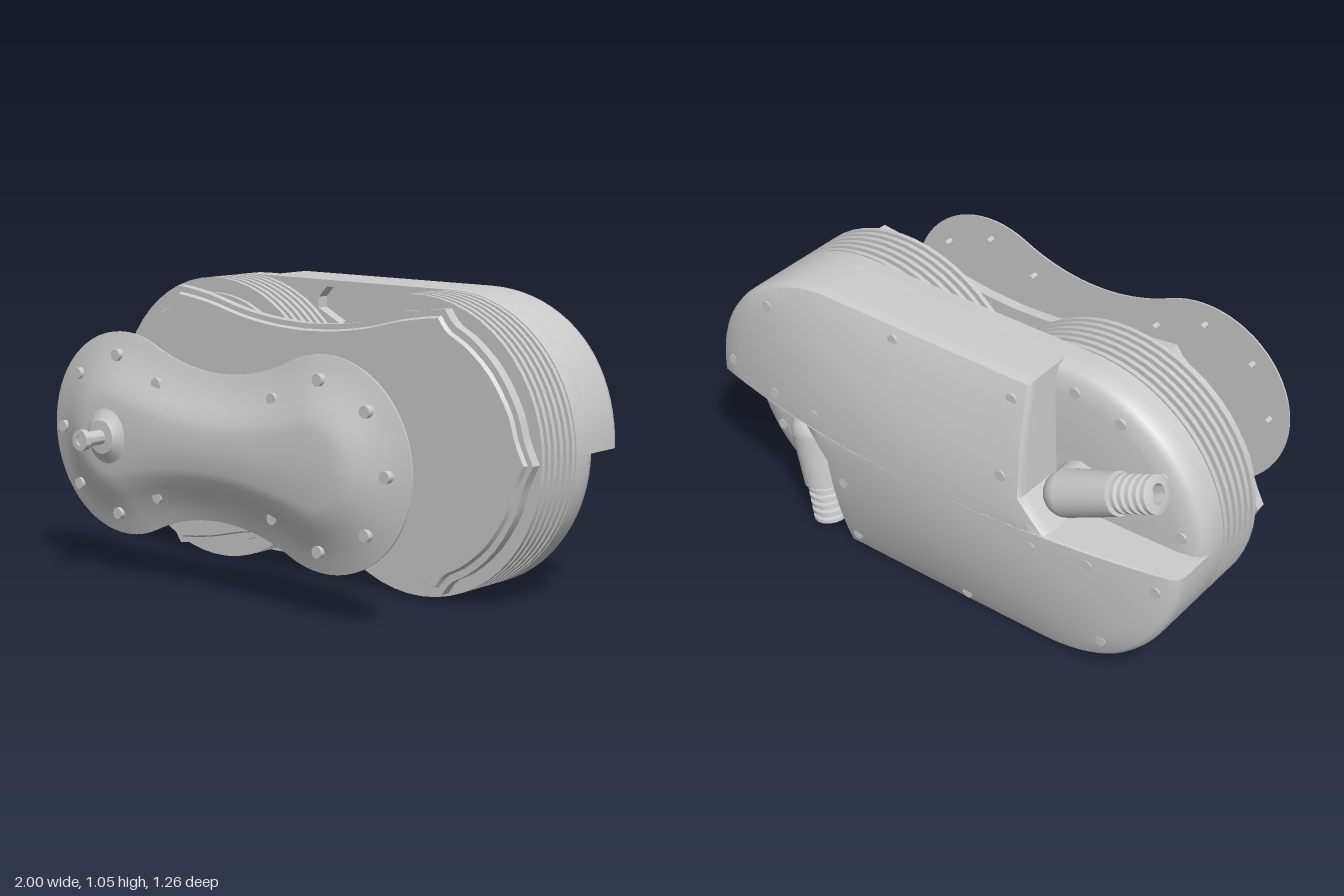
import * as THREE from 'three';
import { toCreasedNormals } from 'three/addons/utils/BufferGeometryUtils.js';

const MID = 0.525; // height of the long axis
const END = 0.475; // x of the two lobe centres
const mat = new THREE.MeshStandardMaterial({ color: 0xcccccc, side: THREE.DoubleSide });

function add(parent, name, geo, x = 0, y = 0, z = 0) {
  const m = new THREE.Mesh(geo, mat);
  m.name = name;
  m.position.set(x, y, z);
  parent.add(m);
  return m;
}

const v2 = (x, y) => new THREE.Vector2(x, y);

// Mirror a quarter outline (from the +x tip to the top middle) into a closed loop
function mirrorQuarter(q) {
  const half = [...q, ...q.slice(0, -1).reverse().map(p => v2(-p.x, p.y))];
  return [...half, ...half.slice(1, -1).reverse().map(p => v2(p.x, -p.y))];
}

// Two lobes of radius r blended into a waist of half height w
function peanut(r, w, n = 20) {
  const k = r - w, c = (END * END - k * k) / (2 * k), R = c - w;
  const a = Math.PI - Math.atan2(c, END), q = [];
  for (let i = 0; i <= n; i++) {
    const t = a * i / n;
    q.push(v2(END + r * Math.cos(t), r * Math.sin(t)));
  }
  for (let i = 1; i <= 10; i++) {
    const t = (Math.PI - a) + (Math.PI / 2 - (Math.PI - a)) * i / 10;
    q.push(v2(R * Math.cos(t), c - R * Math.sin(t)));
  }
  q[q.length - 1].x = 0;
  return mirrorQuarter(q);
}

function stadium(r, n = 20) {
  const q = [];
  for (let i = 0; i <= n; i++) {
    const t = Math.PI / 2 * i / n;
    q.push(v2(END + r * Math.cos(t), r * Math.sin(t)));
  }
  q.push(v2(0, r));
  return mirrorQuarter(q);
}

// Front flange outline with pointed tips
function flangeOutline(s = 1) {
  const spline = pts => new THREE.SplineCurve(pts.map(p => v2(p[0], p[1]))).getPoints(16);
  const tip = spline([[1, 0], [0.962, 0.08], [0.93, 0.18], [0.85, 0.305], [0.75, 0.395], [0.67, 0.44], [0.63, 0.49]]);
  const waist = spline([[0.63, 0.49], [0.55, 0.48], [0.45, 0.462], [0.3, 0.425], [0.15, 0.403], [0, 0.395]]);
  return mirrorQuarter([...tip, ...waist.slice(1)]).map(p => v2(p.x * (1 - s * 0.02), p.y * (1 - s * 0.045)));
}

function extrude(loop, depth, hole) {
  const shape = new THREE.Shape(loop);
  for (const h of hole || []) shape.holes.push(new THREE.Path(h));
  return toCreasedNormals(new THREE.ExtrudeGeometry(shape, { depth, bevelEnabled: false }), 0.6);
}

// Skin a stack of equal-count rings of [x, y, z] points
function loft(rings, crease = 0.6) {
  const n = rings[0].length, idx = [];
  for (let j = 0; j < rings.length - 1; j++) {
    for (let i = 0; i < n; i++) {
      const a = j * n + i, b = j * n + (i + 1) % n;
      idx.push(a, b, b + n, a, b + n, a + n);
    }
  }
  const g = new THREE.BufferGeometry();
  g.setAttribute('position', new THREE.Float32BufferAttribute(rings.flat(2), 3));
  g.setIndex(idx);
  return toCreasedNormals(g, crease);
}
const ring = (loop, z, sx = 1, sy = sx) => loop.map(p => [p.x * sx, p.y * sy, z]);

function screw(parent, name, x, y, z, r, len) {
  add(parent, name, new THREE.CylinderGeometry(r, r, len, 12), x, y, z).rotation.x = Math.PI / 2;
}

// Back cover: stadium with two opposite corners cut away and a domed face
function coverGeometry() {
  const half = [v2(0.53, 0.005), v2(0.43, 0.12), v2(0.41, MID), v2(-END, MID)];
  for (let i = 1; i <= 20; i++) {
    const t = Math.PI / 2 * (1 + i / 20);
    half.push(v2(-END + MID * Math.cos(t), MID * Math.sin(t)));
  }
  const coarse = [...half, ...half.map(p => v2(-p.x, -p.y))], loop = [];
  coarse.forEach((p, i) => {
    const q = coarse[(i + 1) % coarse.length], n = Math.ceil(p.distanceTo(q) / 0.06);
    for (let k = 0; k < n; k++) loop.push(p.clone().lerp(q, k / n));
  });
  const rings = [ring(loop, 0.31)];
  const at = (t, drop) => loop.map(p => [p.x * t, p.y * t, dome(p.x * t, p.y * t) - drop]);
  rings.push(at(1, 0.035), at(0.993, 0.014), at(0.975, 0.002));
  for (let t = 0.9; t > 0; t -= 0.1) rings.push(at(Math.max(t, 0), 0));
  rings.push(at(0, 0));
  return loft(rings);
}
const dome = (x, y) => 0.63 - 0.115 * (1 - (1 - x * x) * (1 - (y / MID) ** 2));

// Elbow pipe rising from the cover floor, ending in a ribbed hose
function elbow(name, x0, y0, x1, y1) {
  const g = new THREE.Group();
  g.name = name;
  const z = 0.475, dx = x1 - x0, dy = y1 - y0, len = Math.hypot(dx, dy);
  screw(g, 'elbowBase', x0, y0, 0.425, 0.082, 0.1);
  add(g, 'elbowBend', new THREE.SphereGeometry(0.082, 24, 16), x0, y0, z);
  const arm = new THREE.Group();
  arm.name = 'elbowArm';
  arm.position.set(x0, y0, z);
  arm.rotation.z = Math.atan2(dy, dx) - Math.PI / 2;
  const pipe = len - 0.16;
  add(arm, 'pipe', new THREE.CylinderGeometry(0.074, 0.082, pipe, 24), 0, pipe / 2, 0);
  const prof = [v2(0, pipe - 0.01)];
  for (let i = 0; i < 5; i++) {
    const y = pipe + i * 0.032;
    prof.push(v2(0.052, y), v2(0.052, y + 0.008), v2(0.065, y + 0.012), v2(0.065, y + 0.026), v2(0.052, y + 0.03));
  }
  prof.push(v2(0.035, len), v2(0.035, len - 0.05), v2(0, len - 0.05));
  add(arm, 'ribbedHose', toCreasedNormals(new THREE.LatheGeometry(prof, 24), 0.6));
  g.add(arm);
  return g;
}

export function createModel() {
  const model = new THREE.Group();
  const body = new THREE.Group();
  body.name = 'body';
  body.position.y = MID;
  model.add(body);

  // Front flange with a slightly raised, chamfered face
  add(body, 'frontFlange', extrude(flangeOutline(0), 0.038), 0, 0, -0.05);
  const face = flangeOutline(1);
  add(body, 'flangeFace', loft([ring(face, -0.014), ring(face, 0.003, 0.992, 0.982), ring(face, 0.003, 0.5), ring(face, 0.003, 0)]));

  // Finned core
  add(body, 'finCore', extrude(peanut(0.47, 0.3), 0.22), 0, 0, -0.265);
  for (let i = 0; i < 6; i++) {
    add(body, 'coolingFin', extrude(peanut(MID, 0.333), 0.017), 0, 0, -0.08 - i * 0.0345);
  }

  // Mid plate with a pocket at top and bottom of the waist
  const pocket = s => [[-0.15, 0.46], [-0.11, 0.5], [0.15, 0.5], [0.19, 0.47], [0.19, 0.43], [0.06, 0.36], [-0.03, 0.36], [-0.15, 0.42]].map(p => v2(p[0], s * p[1]));
  add(body, 'midPlate', extrude(stadium(MID), 0.05, [pocket(1), pocket(-1)]), 0, 0, -0.31);
  screw(body, 'pocketScrew', 0.16, -0.485, -0.3, 0.01, 0.03);

  // Rear assembly, built facing +z and turned round
  const rear = new THREE.Group();
  rear.name = 'rear';
  rear.rotation.y = Math.PI;
  body.add(rear);
  const floor = [[0, 0.305], [0, 0.335], [0.012, 0.365], [0.035, 0.382], [0.1, 0.393], [0.3, 0.4], [0.524, 0.402]];
  add(rear, 'coverFloor', loft([ring(stadium(MID), 0.305, 0), ...floor.map(f => ring(stadium(MID - f[0]), f[1]))]));
  add(rear, 'backCover', coverGeometry());
  rear.add(elbow('sideElbow', 0.53, 0.115, 0.88, 0.275));
  rear.add(elbow('lowerElbow', -0.6, -0.125, -0.54, -0.5));
  for (const s of [1, -1]) {
    for (const deg of [8, 36, 64, 88]) {
      const a = deg * Math.PI / 180;
      screw(rear, 'floorScrew', s * (END + 0.45 * Math.cos(a)), s * 0.45 * Math.sin(a), 0.38, 0.02, 0.03);
    }
    for (const [x, y] of [[0.35, 0.45], [0.35, 0.18], [0.47, -0.06], [0.68, -0.05], [0.92, -0.07], [0.72, -0.38], [0.15, -0.47]]) {
      screw(rear, 'coverScrew', s * x, s * y, dome(x, y) - 0.012, 0.02, 0.03);
    }
  }

  // Detached front cap: domed, peanut-shaped
  const cap = new THREE.Group();
  cap.name = 'frontCap';
  cap.position.y = MID;
  model.add(cap);
  const steps = [[0.365, 0.2575, 0.41], [0.365, 0.2575, 0.416], [0.32, 0.22, 0.429], [0.27, 0.18, 0.446], [0.215, 0.135, 0.472], [0.17, 0.1, 0.491], [0.13, 0.07, 0.501]];
  const top = peanut(0.13, 0.07);
  add(cap, 'capShell', loft([ring(peanut(0.365, 0.2575), 0.41, 1, 0), ...steps.map(s => ring(peanut(s[0], s[1]), s[2])), ring(top, 0.504, 0.95, 0)]));
  for (const s of [1, -1]) {
    for (let i = -3; i <= 3; i++) {
      const a = i * Math.PI / 4, x = s * (END + 0.285 * Math.cos(a)), y = 0.285 * Math.sin(a);
      screw(cap, 'capScrewHead', x, y, 0.445, 0.021, 0.03);
      screw(cap, 'capScrewShank', x, y, 0.405, 0.012, 0.05);
    }
  }

  // Inlet spindle: flared collar, stem and knob
  const stem = [[0.115, 0.495], [0.09, 0.505], [0.06, 0.53], [0.026, 0.532], [0.026, 0.605], [0.037, 0.605], [0.037, 0.63], [0.018, 0.63], [0.018, 0.622], [0, 0.622]];
  const spindle = toCreasedNormals(new THREE.LatheGeometry(stem.map(p => v2(p[0], p[1])), 28), 0.6);
  add(cap, 'spindle', spindle, -0.48, 0, 0).rotation.x = Math.PI / 2;

  return model;
}
